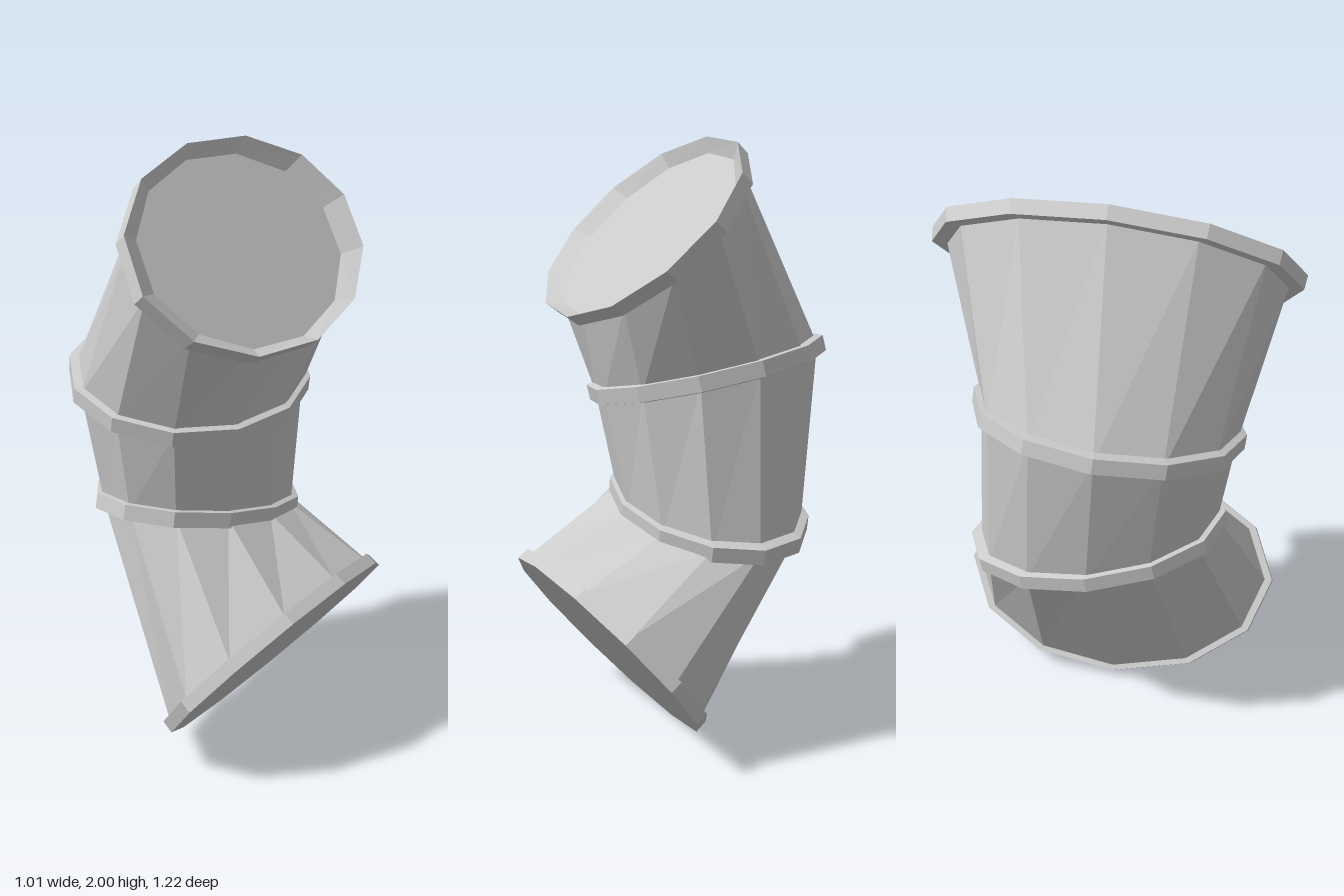
import * as THREE from 'three';

const SIDES = 12;
const vec = (x, y, z) => new THREE.Vector3(x, y, z);

// Tilted elliptical stations along the pipe: centre, and the two half axes
const station = (c, u, v) => {
  const s = { c: vec(...c), u: vec(...u), v: vec(...v) };
  s.n = s.v.clone().cross(s.u).normalize();
  return s;
};
const base = station([0.255, 0.298, 0], [0.247, 0.294, 0], [0, 0, 0.565]);
const lower = station([-0.108, 0.762, -0.04], [0.315, 0, 0], [0, 0.09, 0.44]);
const upper = station([-0.115, 1.225, 0], [0.39, -0.078, 0], [0, -0.055, 0.45]);
const mouth = station([0.13, 1.71, 0], [0.25, -0.29, 0], [0, -0.045, 0.61]);

// Loop of points on a station: offset along its normal, scaled on both axes
function loop(s, offset, su, sv = su) {
  return Array.from({ length: SIDES }, (_, i) => {
    const a = (i / SIDES) * Math.PI * 2;
    return s.c.clone()
      .addScaledVector(s.n, offset)
      .addScaledVector(s.u, Math.cos(a) * su)
      .addScaledVector(s.v, Math.sin(a) * sv);
  });
}

// Flat-faced skin through a series of loops
function skin(name, loops) {
  const pts = [];
  const tri = (a, b, c) => {
    const area = b.clone().sub(a).cross(c.clone().sub(a)).length();
    if (area > 1e-9) pts.push(a, b, c);
  };
  for (let k = 0; k < loops.length - 1; k++) {
    const p = loops[k], q = loops[k + 1];
    for (let i = 0; i < SIDES; i++) {
      const j = (i + 1) % SIDES;
      tri(p[i], q[i], p[j]);
      tri(q[i], q[j], p[j]);
    }
  }
  const geo = new THREE.BufferGeometry().setFromPoints(pts);
  geo.computeVertexNormals();
  const mat = new THREE.MeshStandardMaterial({ color: 0xcccccc, flatShading: true });
  const mesh = new THREE.Mesh(geo, mat);
  mesh.name = name;
  return mesh;
}

// Raised collar covering a joint
const collar = (name, s) => skin(name, [
  loop(s, -0.034, 0.91), loop(s, -0.026, 1), loop(s, 0.026, 1), loop(s, 0.034, 0.91),
]);

export function createModel() {
  const group = new THREE.Group();
  group.name = 'bentPipe';
  group.add(
    // Closed flange at the foot
    skin('baseFlange', [
      loop(base, 0, 0), loop(base, 0, 1), loop(base, 0.045, 0.995), loop(base, 0.045, 0.9),
    ]),
    // Three straight lengths of pipe
    skin('lowerPipe', [loop(base, 0.04, 0.95), loop(lower, 0, 0.93)]),
    skin('middlePipe', [loop(lower, 0, 0.93), loop(upper, 0, 0.94)]),
    skin('upperPipe', [loop(upper, 0, 0.94), loop(mouth, -0.045, 0.91)]),
    collar('lowerCollar', lower),
    collar('upperCollar', upper),
    // Mouth rim with a shallow recessed cap
    skin('mouthFlange', [
      loop(mouth, -0.05, 0.88), loop(mouth, -0.05, 0.99), loop(mouth, 0, 1),
      loop(mouth, -0.04, 0.9, 0.84), loop(mouth, -0.04, 0),
    ]),
  );
  return group;
}
